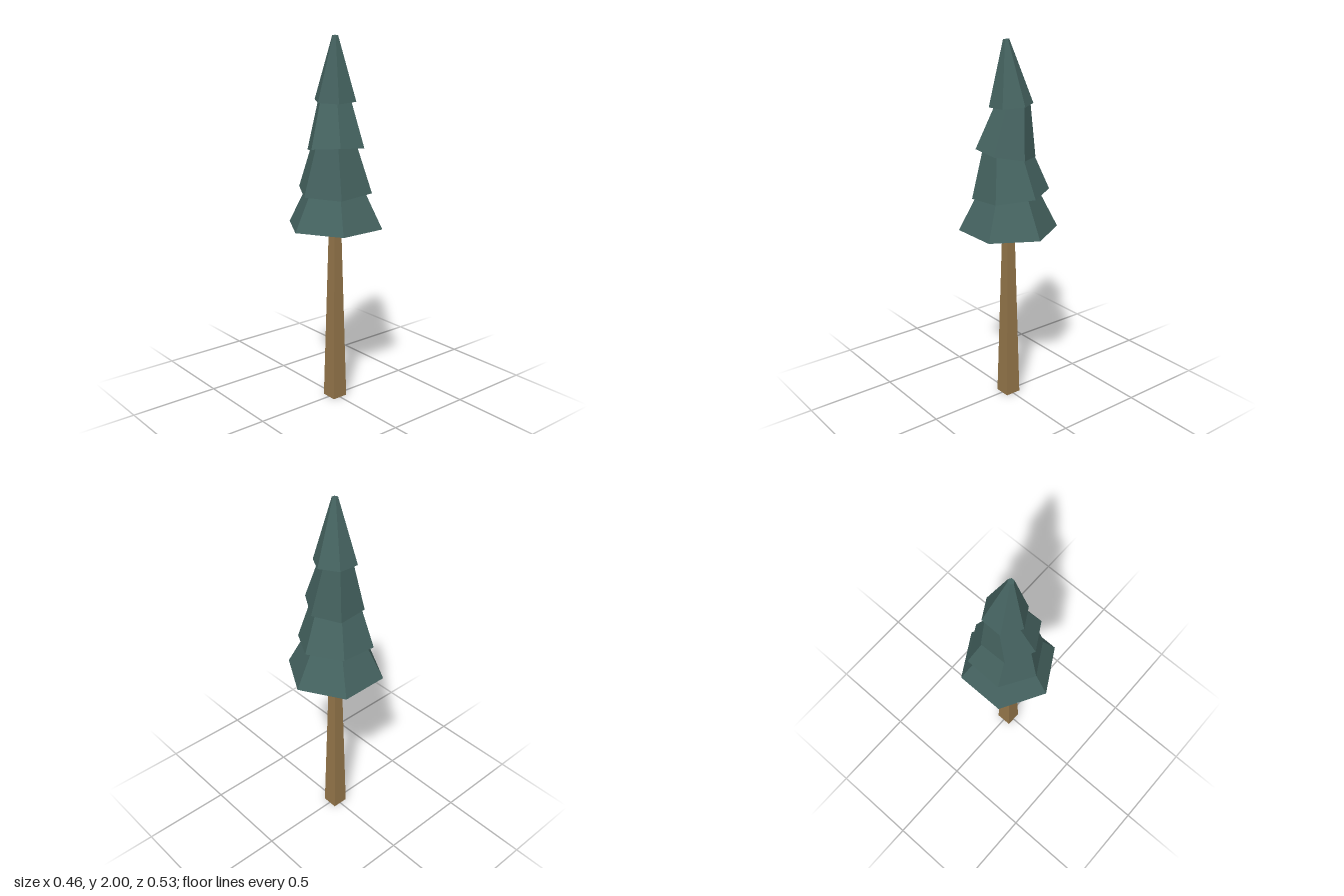
import * as THREE from 'three';

export function createModel() {
  const tree = new THREE.Group();
  tree.name = 'pineTree';
  const bark = new THREE.MeshStandardMaterial({ color: 0x94764a, flatShading: true });
  const needles = new THREE.MeshStandardMaterial({ color: 0x456360, flatShading: true });

  // Square trunk, tapering up into the lowest tier
  const trunkHeight = 1.05;
  const trunkShape = new THREE.CylinderGeometry(0.032, 0.064, trunkHeight, 4);
  trunkShape.rotateY(Math.PI / 4).translate(0, trunkHeight / 2, 0);
  const trunk = new THREE.Mesh(trunkShape, bark);
  trunk.name = 'trunk';
  tree.add(trunk);

  // Six-sided foliage tiers, each standing on the centre of its base and leaning a little
  const tiers = [
    { base: [0, 1, 0], bottom: 0.267, top: 0.145, height: 0.24, lean: [0, 0] },
    { base: [-0.01, 1.193, -0.008], bottom: 0.208, top: 0.122, height: 0.26, lean: [0.07, 0.073] },
    { base: [0.0125, 1.416, 0.007], bottom: 0.16, top: 0.088, height: 0.27, lean: [-0.14, -0.08] },
    { base: [-0.01, 1.667, -0.01], bottom: 0.116, top: 0.016, height: 0.333, lean: [0.058, 0.05] },
  ];
  const up = new THREE.Vector3(0, 1, 0);
  tiers.forEach(({ base, bottom, top, height, lean }, i) => {
    const shape = new THREE.CylinderGeometry(top, bottom, height, 6);
    shape.translate(0, height / 2, 0);
    const tier = new THREE.Mesh(shape, needles);
    tier.name = `foliageTier${i + 1}`;
    tier.position.set(...base);
    tier.quaternion.setFromUnitVectors(up, new THREE.Vector3(lean[0], 1, lean[1]).normalize());
    tree.add(tier);
  });

  return tree;
}
